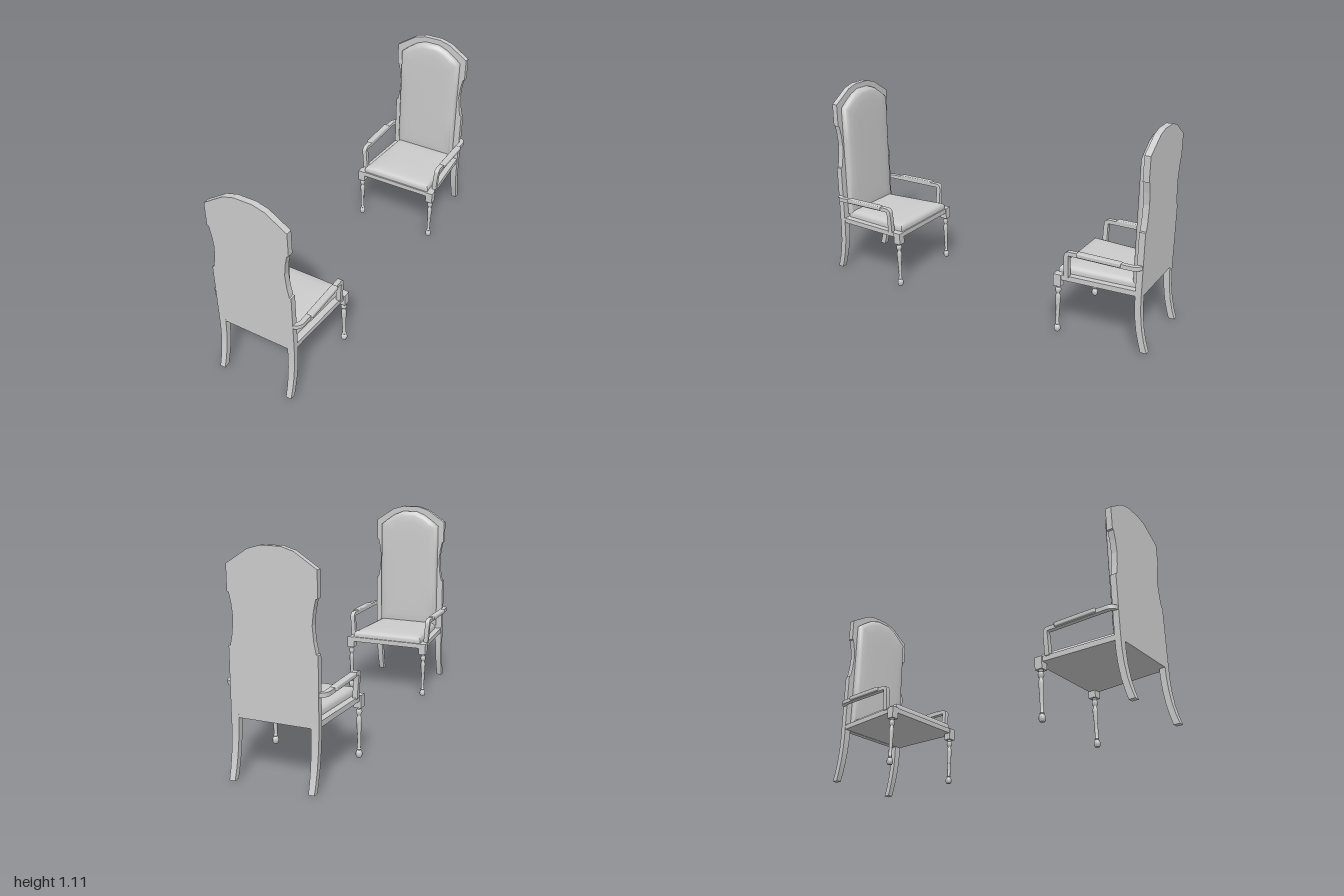
import * as THREE from 'three';
import { toCreasedNormals } from 'three/addons/utils/BufferGeometryUtils.js';
import { RoundedBoxGeometry } from 'three/addons/geometries/RoundedBoxGeometry.js';

const material = new THREE.MeshStandardMaterial({ color: 0xcccccc });
const V = (x, y, z) => new THREE.Vector3(x, y, z);

// Skins closed rings of points (counter-clockwise about the direction of travel) and caps both ends
function loft(rings, crease = 0.6) {
  const n = rings[0].length, last = (rings.length - 1) * n, index = [];
  for (let r = 0; r < rings.length - 1; r++) {
    for (let i = 0; i < n; i++) {
      const a = r * n + i, b = r * n + (i + 1) % n;
      index.push(a, b, b + n, a, b + n, a + n);
    }
  }
  for (let i = 1; i < n - 1; i++) index.push(0, i + 1, i, last, last + i, last + i + 1);
  const g = new THREE.BufferGeometry().setFromPoints(rings.flat());
  g.setIndex(index);
  return toCreasedNormals(g, crease);
}

// Four-cornered section around a centre, from two half-extent vectors
const section = (c, u, v) => [[-1, -1], [1, -1], [1, 1], [-1, 1]].map(
  ([a, b]) => c.clone().addScaledVector(u, a).addScaledVector(v, b));

// Trapezoid in plan, front corners first, with extra points along each edge
function trapezoid(front, back, zf, zb, y, steps = 1) {
  const c = [V(-front, y, zf), V(front, y, zf), V(back, y, zb), V(-back, y, zb)];
  return c.flatMap((p, i) => Array.from({ length: steps },
    (_, k) => p.clone().lerp(c[(i + 1) % 4], k / steps)));
}

// Domed upholstery: [shrink, rise] steps from the edge to the crown
const dome = [[1, 0], [1, 0.4], [0.985, 0.6], [0.95, 0.77], [0.88, 0.88], [0.7, 0.96], [0.4, 0.99], [0.02, 1]];

function seatCushion() {
  const base = trapezoid(0.217, 0.186, -0.503, -0.915, 0, 8);
  return loft(dome.map(([s, h]) => base.map(
    p => V(p.x * s, 0.328 + 0.047 * h, -0.705 + (p.z + 0.705) * s))), 1.0);
}

function backCushion() {
  const half = [[0.188, 0.35], [0.188, 0.6], [0.188, 0.8], [0.188, 0.995], [0.15, 1.025],
    [0.1, 1.06], [0.045, 1.082]];
  const outline = [...half, ...half.map(([x, y]) => [-x, y]).reverse()];
  return loft(dome.map(([s, h]) => outline.map(
    ([x, y]) => V(x * s, 0.7 + (y - 0.7) * (1 - (1 - s) * 0.6), -0.925 + 0.045 * h))), 1.0);
}

function backPanel() {
  const half = [[0.225, 0.3], [0.225, 0.643], [0.216, 0.646], [0.205, 0.7], [0.198, 0.775],
    [0.205, 0.84], [0.216, 0.892], [0.225, 0.895], [0.225, 1.022], [0.113, 1.095], [0.05, 1.113]];
  const shape = new THREE.Shape(
    [...half, ...half.map(([x, y]) => [-x, y]).reverse()].map(p => new THREE.Vector2(...p)));
  return new THREE.ExtrudeGeometry(shape, { depth: 0.032, bevelEnabled: false }).translate(0, 0, -0.954);
}

// Sabre-shaped rear leg sweeping backwards to the floor
function rearLeg(side) {
  const rows = [[0, -0.983, 0.017, 0.015], [0.05, -0.968, 0.016, 0.016], [0.11, -0.954, 0.016, 0.017],
    [0.18, -0.944, 0.016, 0.018], [0.25, -0.939, 0.016, 0.019], [0.32, -0.938, 0.016, 0.02]];
  return loft(rows.map(([y, z, d, w]) => section(V(side * 0.205, y, z), V(0, 0, d), V(w, 0, 0))));
}

// Turned front leg with ball foot and collars
function frontLeg() {
  const profile = [[0, 0], [0.012, 0], [0.017, 0.01], [0.017, 0.024], [0.013, 0.034], [0.009, 0.038],
    [0.012, 0.043], [0.009, 0.049], [0.0095, 0.09], [0.011, 0.14], [0.014, 0.19], [0.014, 0.205],
    [0.009, 0.218], [0.009, 0.224], [0.015, 0.231], [0.016, 0.24], [0.014, 0.25], [0.01, 0.255], [0.014, 0.268]];
  return toCreasedNormals(new THREE.LatheGeometry(profile.map(p => new THREE.Vector2(...p)), 16), 0.8);
}

// Arm leaves the back sideways, bends forward, then turns down to the seat frame
function arm(side) {
  const rings = [], y = 0.461, w = 0.013, h = 0.011, bend = 0.035;
  const flat = (x, z, t) => rings.push(section(V(x, y, z),
    V(Math.cos(t) * w, 0, -Math.sin(t) * w), V(0, h, 0)));
  flat(0.19, -0.94, Math.PI / 2);
  for (let i = 0; i <= 5; i++) {
    const t = Math.PI / 2 * (1 - i / 5);
    flat(0.247 - bend + bend * Math.cos(t), -0.94 + bend - bend * Math.sin(t), t);
  }
  for (let i = 0; i <= 4; i++) {
    const t = Math.PI / 2 * i / 4, c = Math.cos(t), s = Math.sin(t);
    rings.push(section(V(0.247, y - 0.015 + 0.015 * c, -0.575 + 0.015 * s),
      V(w, 0, 0), V(0, c * h, s * (h + 0.001))));
  }
  for (const [x, py] of [[0.242, 0.39], [0.238, 0.325]]) {
    rings.push(section(V(x, py, -0.56), V(w, 0, 0), V(0, 0, 0.013)));
  }
  return loft(side > 0 ? rings : rings.map(r => r.map(p => V(-p.x, p.y, p.z)).reverse()));
}

function createChair(name) {
  const chair = new THREE.Group();
  chair.name = name;
  const add = (part, geometry, x = 0, y = 0, z = 0) => {
    const mesh = new THREE.Mesh(geometry, material);
    mesh.name = part;
    mesh.position.set(x, y, z);
    chair.add(mesh);
  };
  add('backPanel', backPanel());
  add('backCushion', backCushion());
  add('seatFrame', loft([0.302, 0.33].map(y => trapezoid(0.25, 0.222, -0.494, -0.924, y))));
  add('seatCushion', seatCushion());
  for (const side of [1, -1]) {
    const hand = side > 0 ? 'left' : 'right';
    add(hand + 'RearLeg', rearLeg(side));
    add(hand + 'FrontLeg', frontLeg(), side * 0.236, 0, -0.512);
    add(hand + 'CornerBlock', new THREE.BoxGeometry(0.042, 0.066, 0.042), side * 0.234, 0.298, -0.511);
    add(hand + 'Arm', arm(side));
    add(hand + 'ArmPad', new RoundedBoxGeometry(0.036, 0.024, 0.235, 2, 0.006), side * 0.252, 0.466, -0.735);
  }
  return chair;
}

// Two matching chairs facing each other
export function createModel() {
  const model = new THREE.Group();
  model.name = 'facingChairs';
  const rear = createChair('rearChair');
  const front = createChair('frontChair');
  front.rotation.y = Math.PI;
  model.add(rear, front);
  return model;
}
